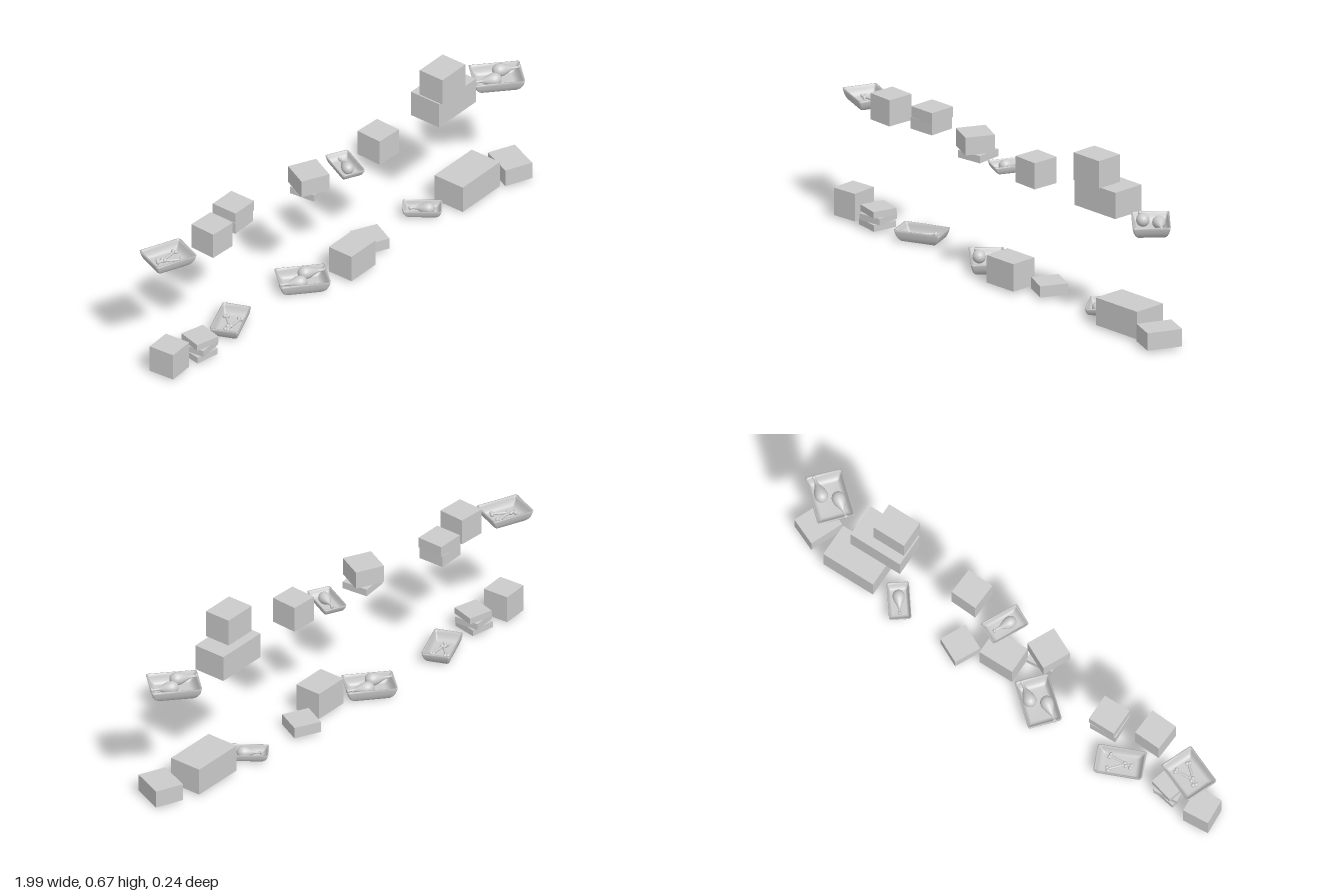
import * as THREE from 'three';

const material = new THREE.MeshStandardMaterial({ color: 0xcccccc, roughness: 0.8 });
const thin = new THREE.MeshStandardMaterial({ color: 0xcccccc, roughness: 0.8, side: THREE.DoubleSide });
const rad = THREE.MathUtils.degToRad;

// Box given by centre, bottom and top height, width, depth and turn in degrees
function box(name, x, z, y0, y1, w, d, turn) {
  const mesh = new THREE.Mesh(new THREE.BoxGeometry(w, y1 - y0, d), material);
  mesh.position.set(x, (y0 + y1) / 2, z);
  mesh.rotation.y = rad(turn);
  mesh.name = name;
  return mesh;
}

// One rounded rectangle outline, 4 points per corner
function outline(w, d, r) {
  const points = [];
  for (let c = 0; c < 4; c++) {
    const sx = c === 0 || c === 3 ? 1 : -1, sz = c < 2 ? 1 : -1;
    for (let i = 0; i < 4; i++) {
      const a = (c + i / 3) * Math.PI / 2;
      points.push([sx * (w / 2 - r) + r * Math.cos(a), sz * (d / 2 - r) + r * Math.sin(a)]);
    }
  }
  return points;
}

// Dish with curved flaring walls: rings from the underside over the rim to the floor
function trayGeometry(w, d, h) {
  const rings = [
    [0, 0], [0.66, 0], [0.75, 0.04], [0.85, 0.22], [0.93, 0.5], [0.98, 0.8], [1, 1],
    [0.94, 1], [0.9, 0.75], [0.83, 0.45], [0.74, 0.25], [0.64, 0.2], [0, 0.2],
  ];
  const position = [], index = [], n = 16;
  for (const [s, y] of rings)
    for (const [px, pz] of outline(w, d, 0.008)) position.push(px * s, y * h, pz * s);
  for (let k = 0; k < rings.length - 1; k++)
    for (let i = 0; i < n; i++) {
      const a = k * n + i, b = k * n + (i + 1) % n;
      index.push(a, a + n, b, b, a + n, b + n);
    }
  const geometry = new THREE.BufferGeometry();
  geometry.setAttribute('position', new THREE.Float32BufferAttribute(position, 3));
  geometry.setIndex(index);
  geometry.computeVertexNormals();
  return geometry;
}

// Drumstick lying along x: round meat at the origin, bone towards -x
function drumstick(size) {
  const profile = [
    [0, -0.3], [0.14, -0.26], [0.24, -0.14], [0.27, 0], [0.24, 0.16], [0.16, 0.34],
    [0.08, 0.5], [0.055, 0.62], [0.055, 0.74], [0.09, 0.79], [0.08, 0.85], [0, 0.87],
  ].map(([r, y]) => new THREE.Vector2(r * size, y * size));
  const curve = new THREE.SplineCurve(profile).getPoints(30);
  curve.forEach(p => { p.x = Math.max(p.x, 0); });
  const group = new THREE.Group();
  const meat = new THREE.Mesh(new THREE.LatheGeometry(curve, 20), thin);
  meat.rotation.z = Math.PI / 2;
  group.add(meat);
  group.name = 'drumstick';
  return group;
}

// Thin bone with a pair of knobs at both ends
function bone(length) {
  const group = new THREE.Group();
  const shaft = new THREE.Mesh(new THREE.CylinderGeometry(0.005, 0.005, length, 10), material);
  shaft.rotation.z = Math.PI / 2;
  group.add(shaft);
  for (const sx of [-1, 1])
    for (const sz of [-1, 1]) {
      const knob = new THREE.Mesh(new THREE.SphereGeometry(0.008, 12, 8), material);
      knob.position.set(sx * length / 2, 0, sz * 0.006);
      group.add(knob);
    }
  group.name = 'bone';
  return group;
}

// Tray with its food
function tray(name, x, z, y, w, d, h, turn, food) {
  const group = new THREE.Group();
  const dish = new THREE.Mesh(trayGeometry(w, d, h), thin);
  dish.name = 'dish';
  group.add(dish);
  const put = (item, px, py, pz, deg) => {
    item.position.set(px, py, pz);
    item.rotation.y = rad(deg);
    group.add(item);
  };
  if (food === 'pair') {
    put(drumstick(0.095), -0.015, 0.042, 0.03, 6);
    put(drumstick(0.095), 0.015, 0.042, -0.03, 186);
  } else if (food === 'single') {
    put(drumstick(0.085), 0, 0.022, 0.022, -90);
  } else {
    put(bone(0.09), 0, 0.018, 0.012, -20);
    put(bone(0.07), 0.012, 0.02, -0.014, 25);
  }
  group.position.set(x, y, z);
  group.rotation.y = rad(turn);
  group.name = name;
  return group;
}

export function createModel() {
  const model = new THREE.Group();

  // Upper level
  const upper = new THREE.Group();
  upper.name = 'upperLevel';
  upper.add(
    tray('boneTray', -0.895, -0.01, 0.455, 0.175, 0.138, 0.045, -16, 'bones'),
    box('cubeBox', -0.70, 0.03, 0.455, 0.56, 0.11, 0.11, 3),
    box('stackedBoxLower', -0.528, -0.03, 0.455, 0.502, 0.112, 0.11, 8),
    box('stackedBoxUpper', -0.524, -0.03, 0.502, 0.545, 0.112, 0.11, 6),
    box('slabLower', -0.17, 0.025, 0.455, 0.484, 0.108, 0.108, 12),
    box('slabUpper', -0.18, 0.03, 0.484, 0.555, 0.117, 0.117, -20),
    tray('smallTray', 0.025, 0.02, 0.455, 0.095, 0.158, 0.032, -20, 'single'),
    box('cubeBox', 0.193, 0.03, 0.455, 0.56, 0.11, 0.11, 3),
    box('wideBox', 0.583, -0.01, 0.455, 0.56, 0.222, 0.136, 6),
    box('topBox', 0.55, 0.018, 0.56, 0.67, 0.138, 0.11, 6),
    tray('drumstickTray', 0.86, 0, 0.44, 0.195, 0.145, 0.048, -36, 'pair'),
  );

  // Lower level
  const lower = new THREE.Group();
  lower.name = 'lowerLevel';
  lower.add(
    box('cubeBox', -0.928, 0.03, 0.01, 0.12, 0.107, 0.107, 10),
    tray('boneTray', -0.56, -0.01, 0.003, 0.188, 0.112, 0.046, 29, 'bones'),
    tray('drumstickTray', -0.167, -0.016, 0, 0.195, 0.133, 0.05, -35, 'pair'),
    box('longBox', 0.045, 0.038, 0.01, 0.12, 0.146, 0.11, 6),
    box('flatBox', 0.205, -0.025, 0.01, 0.055, 0.11, 0.11, -20),
    tray('smallTray', 0.495, -0.035, 0.012, 0.085, 0.15, 0.032, 43, 'single'),
    box('wideBox', 0.713, -0.012, 0.01, 0.12, 0.224, 0.136, 6),
    box('endBox', 0.923, 0.008, 0.01, 0.08, 0.115, 0.14, -17),
  );
  // Pile of three thin packages, each turned differently
  [-4, 12, -9].forEach((turn, i) =>
    lower.add(box('thinPackage', -0.775 + 0.003 * i, 0.035, 0.01 + 0.027 * i, 0.036 + 0.027 * i, 0.1, 0.1, turn)));

  model.add(upper, lower);
  return model;
}
